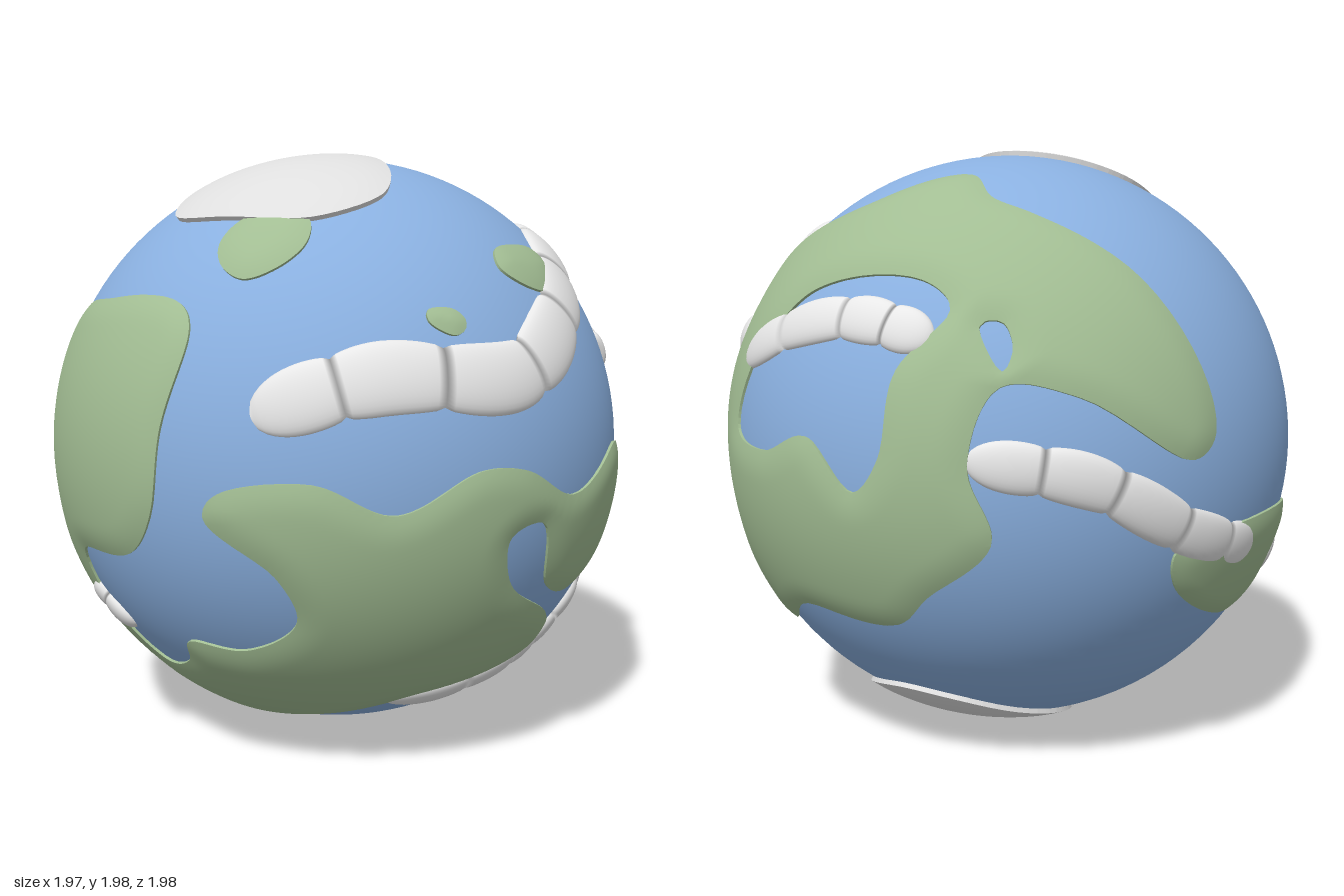
import * as THREE from 'three';
import { mergeVertices, mergeGeometries } from 'three/addons/utils/BufferGeometryUtils.js';
import { ParametricGeometry } from 'three/addons/geometries/ParametricGeometry.js';

const R = 0.975;
const material = (name, color) => Object.assign(new THREE.MeshStandardMaterial({ color }), { name });

// Directions of points [right, up] on the globe, facing it from a given azimuth and elevation
function facing(azimuth, elevation, points) {
  const turn = new THREE.Euler(-elevation * Math.PI / 180, azimuth * Math.PI / 180, 0, 'YXZ');
  return points.map(([x, y]) =>
    new THREE.Vector3(x, y, Math.sqrt(Math.max(0, 0.96 - x * x - y * y))).applyEuler(turn).normalize());
}
const front = p => facing(0, 0, p);
const side = p => facing(90, 0, p);
const top = p => facing(0, 90, p);
const back = p => facing(215, 25, p);
const below = p => facing(140, -33, p);

// Slightly uneven oval outline
const oval = (x, y, rx, ry) => Array.from({ length: 8 }, (_, i) => {
  const a = i * Math.PI / 4, k = 1 + 0.06 * Math.sin(3 * a);
  return [x + rx * k * Math.cos(a), y + ry * k * Math.sin(a)];
});

// Raised plate on the globe: outline loops (later ones are holes) cut from a fine grid by signed distance
function plate(name, mat, loops, { edge = 0.008, dome = 0.012, step = 0.022, centre } = {}) {
  const c = centre ? new THREE.Vector3(...centre)
    : loops[0].reduce((s, p) => s.add(p), new THREE.Vector3());
  c.normalize();
  const steep = Math.abs(c.y) > 0.9;
  const e1 = new THREE.Vector3(steep ? 1 : 0, steep ? 0 : 1, 0).cross(c).normalize();
  const e2 = c.clone().cross(e1);
  const flatten = p => {
    const a = p.dot(e1), b = p.dot(e2), k = Math.acos(THREE.MathUtils.clamp(p.dot(c), -1, 1)) / (Math.hypot(a, b) || 1);
    return [a * k, b * k];
  };
  const raise = (x, y, r) => {
    const t = Math.hypot(x, y), k = t > 1e-9 ? Math.sin(t) / t : 1;
    return c.clone().multiplyScalar(Math.cos(t)).addScaledVector(e1, x * k).addScaledVector(e2, y * k).multiplyScalar(r);
  };
  const rings = loops.map(l => new THREE.CatmullRomCurve3(l, true).getPoints(l.length * 7)
    .map(p => flatten(p.normalize())));
  const distance = (x, y) => {
    let best = Infinity, inside = false;
    for (const ring of rings) for (let i = 1; i < ring.length; i++) {
      const [ax, ay] = ring[i - 1], [bx, by] = ring[i], dx = bx - ax, dy = by - ay;
      const t = THREE.MathUtils.clamp(((x - ax) * dx + (y - ay) * dy) / (dx * dx + dy * dy || 1), 0, 1);
      best = Math.min(best, Math.hypot(ax + t * dx - x, ay + t * dy - y));
      if ((ay > y) !== (by > y) && x < ax + (y - ay) / dy * dx) inside = !inside;
    }
    return inside ? best : -best;
  };
  const lift = ([x, y, d]) => raise(x, y, R + edge + dome * (1 - (1 - Math.min(Math.max(d, 0) / 0.1, 1)) ** 2));
  const foot = ([x, y]) => raise(x, y, R - 0.005);
  const tops = [], walls = [];
  const cut = tri => {
    const poly = [];
    let leave, enter;
    tri.forEach((a, i) => {
      const b = tri[(i + 1) % 3];
      if (a[2] >= 0) poly.push(a);
      if ((a[2] >= 0) !== (b[2] >= 0)) {
        const t = a[2] / (a[2] - b[2]), m = [a[0] + t * (b[0] - a[0]), a[1] + t * (b[1] - a[1]), 0];
        poly.push(m);
        if (a[2] >= 0) leave = m; else enter = m;
      }
    });
    for (let i = 2; i < poly.length; i++) tops.push(lift(poly[0]), lift(poly[i - 1]), lift(poly[i]));
    if (leave) {
      const a = lift(leave), b = lift(enter), p = foot(leave), q = foot(enter);
      walls.push(b, a, p, b, p, q);
    }
  };
  const xs = rings[0].map(p => p[0]), ys = rings[0].map(p => p[1]);
  const x0 = Math.min(...xs) - step, y0 = Math.min(...ys) - step;
  const nx = Math.ceil((Math.max(...xs) + step - x0) / step), ny = Math.ceil((Math.max(...ys) + step - y0) / step);
  const grid = [];
  for (let j = 0; j <= ny; j++) for (let i = 0; i <= nx; i++) {
    const x = x0 + i * step, y = y0 + j * step;
    grid.push([x, y, distance(x, y)]);
  }
  for (let j = 0; j < ny; j++) for (let i = 0; i < nx; i++) {
    const k = j * (nx + 1) + i, a = grid[k], b = grid[k + 1], d = grid[k + nx + 1], e = grid[k + nx + 2];
    cut([a, b, e]);
    cut([a, e, d]);
  }
  const surface = mergeVertices(new THREE.BufferGeometry().setFromPoints(tops), 1e-4);
  surface.computeVertexNormals();
  const rim = new THREE.BufferGeometry().setFromPoints(walls);
  rim.computeVertexNormals();
  const mesh = new THREE.Mesh(mergeGeometries([surface.toNonIndexed(), rim]), mat);
  mesh.name = name;
  return mesh;
}

// Scalloped puffy strip lying along a path on the globe
function cloud(name, mat, path, width, lumps) {
  const curve = new THREE.CatmullRomCurve3(path);
  const geometry = new ParametricGeometry((u, v, out) => {
    const c = curve.getPoint(u).normalize(), across = c.clone().cross(curve.getTangent(u)).normalize();
    const round = Math.sqrt(Math.max(0.002, 1 - Math.abs(2 * u - 1) ** (lumps * 1.6)));
    const swell = round * (0.8 + 0.2 * Math.sqrt(Math.abs(Math.sin(Math.PI * lumps * u))));
    const a = Math.PI * (1 - v);
    out.copy(c).addScaledVector(across, width * swell * Math.cos(a)).normalize()
      .multiplyScalar(R - 0.006 + 0.037 * swell * Math.abs(Math.sin(a)) ** 0.8);
  }, lumps * 14, 16);
  const mesh = new THREE.Mesh(geometry, mat);
  mesh.name = name;
  return mesh;
}

export function createModel() {
  const group = new THREE.Group();
  group.name = 'planet';
  const water = material('ocean blue', 0x8ab0e0), land = material('land green', 0xa2bd93);
  const ice = material('ice white', 0xdedede), puff = material('cloud white', 0xe8e8e8);

  const ocean = new THREE.Mesh(new THREE.SphereGeometry(R, 96, 64), water);
  ocean.name = 'ocean';
  group.add(ocean);

  // Southern continent: northern lobe, eastern bays, southern coast, western arm
  const southCoast = [
    ...front([[-.65, .45], [-.4, .515], [-.06, .51], [0, .43], [-.05, .15], [-.09, -.11], [-.2, -.25], [-.5, -.3],
      [-.5, -.43], [-.31, -.685], [-.12, -.63], [-.07, -.54], [.14, -.54], [.33, -.42], [.3, -.27], [.1, -.1],
      [.14, -.03], [.42, .013], [.62, -.08], [.8, .035]]),
    ...side([[-.42, .025], [-.2, -.08], [.16, .035], [.28, 0], [.335, -.2], [.22, -.34], [-.035, -.43], [-.22, -.37],
      [-.33, -.15], [-.45, -.18], [-.4, -.33], [-.115, -.49], [.15, -.65], [.31, -.755], [.22, -.88], [.09, -.85],
      [.03, -.71], [-.36, -.75]]),
    ...front([[.2, -.85], [-.28, -.86], [-.39, -.735], [-.7, -.51]]),
    ...back([[.68, -.67], [.5, -.64], [.5, -.55], [.82, -.37]]),
    ...front([[-.82, -.22], [-.73, -.3], [-.685, -.17], [-.715, .1]]),
  ];
  group.add(plate('southernContinent', land, [southCoast], { centre: [0, -.5, .85] }));

  // Northern continent with two lakes
  const northCoast = [
    ...top([[-.92, .257], [-.72, .337], [-.4, .455], [-.265, .47], [-.12, .385], [.16, .53], [.3, .54], [.564, .47]]),
    ...side([[.607, .49], [.67, .233], [.76, -.06], [.75, -.25], [.543, -.56]]),
    ...below([[-.06, -.085], [.1, -.07], [.4, .04], [.685, -.095]]),
    ...back([[-.24, -.69], [-.05, -.56], [-.12, -.36], [-.03, -.145], [.2, -.165], [.54, -.3], [.61, -.23]]),
  ];
  const bigLake = back([[-.83, .07], [-.88, -.1], [-.76, -.22], [-.61, -.22], [-.46, -.4], [-.38, -.32], [-.33, -.08],
    [-.17, .095], [-.25, .2], [-.6, .25], [-.73, .17]]);
  const pond = back([[-.085, .045], [-.02, .05], [.01, -.03], [-.02, -.1]]);
  group.add(plate('northernContinent', land, [northCoast, bigLake, pond]));

  // Islands
  const fine = { step: 0.012 };
  group.add(
    plate('frontIsland', land, [front(oval(.125, .69, .137, .1))], fine),
    plate('tinyIsland', land, [side(oval(-.535, .467, .047, .04))], fine),
    plate('eastIsland', land, [side(oval(-.1, .615, .155, .072))], fine));

  // Polar ice caps
  const flat = { edge: 0.016, dome: 0.003 };
  const northIce = top([[-.33, -.2], [-.05, .027], [.2, -.07], [.37, -.36], [.24, -.57], [-.025, -.615], [-.29, -.535]]);
  const southIce = below([[-.165, -.66], [-.1, -.54], [.16, -.385], [.435, -.365], [.525, -.5], [.4, -.78], [.2, -.88],
    [-.05, -.765]]);
  group.add(plate('northIceCap', ice, [northIce], flat), plate('southIceCap', ice, [southIce], flat));

  // Clouds
  const eastPath = side([[-.93, .2], [-.75, .31], [-.38, .31], [-.035, .5], [.2, .655], [.46, .69]]);
  const southEastPath = side([[-.44, -.77], [-.09, -.72], [.07, -.665], [.18, -.545], [.5, -.46]]);
  const westPath = back([[-.13, -.34], [.235, -.395], [.57, -.5], [.78, -.475]]);
  group.add(
    cloud('eastCloud', puff, eastPath, .115, 7),
    cloud('smallEastCloud', puff, side([[.42, .31], [.69, .39]]), .075, 3),
    cloud('lakeCloud', puff, back([[-.87, .13], [-.49, .12], [-.22, .01]]), .08, 4),
    cloud('southEastCloud', puff, southEastPath, .068, 6),
    cloud('westCloud', puff, westPath, .085, 5),
    cloud('armCloud', puff, front([[-.86, -.37], [-.71, -.4]]), .09, 2),
    cloud('bayCloud', puff, front([[-.54, -.45], [-.35, -.56]]), .055, 2));

  group.position.y = 0.994;
  return group;
}
